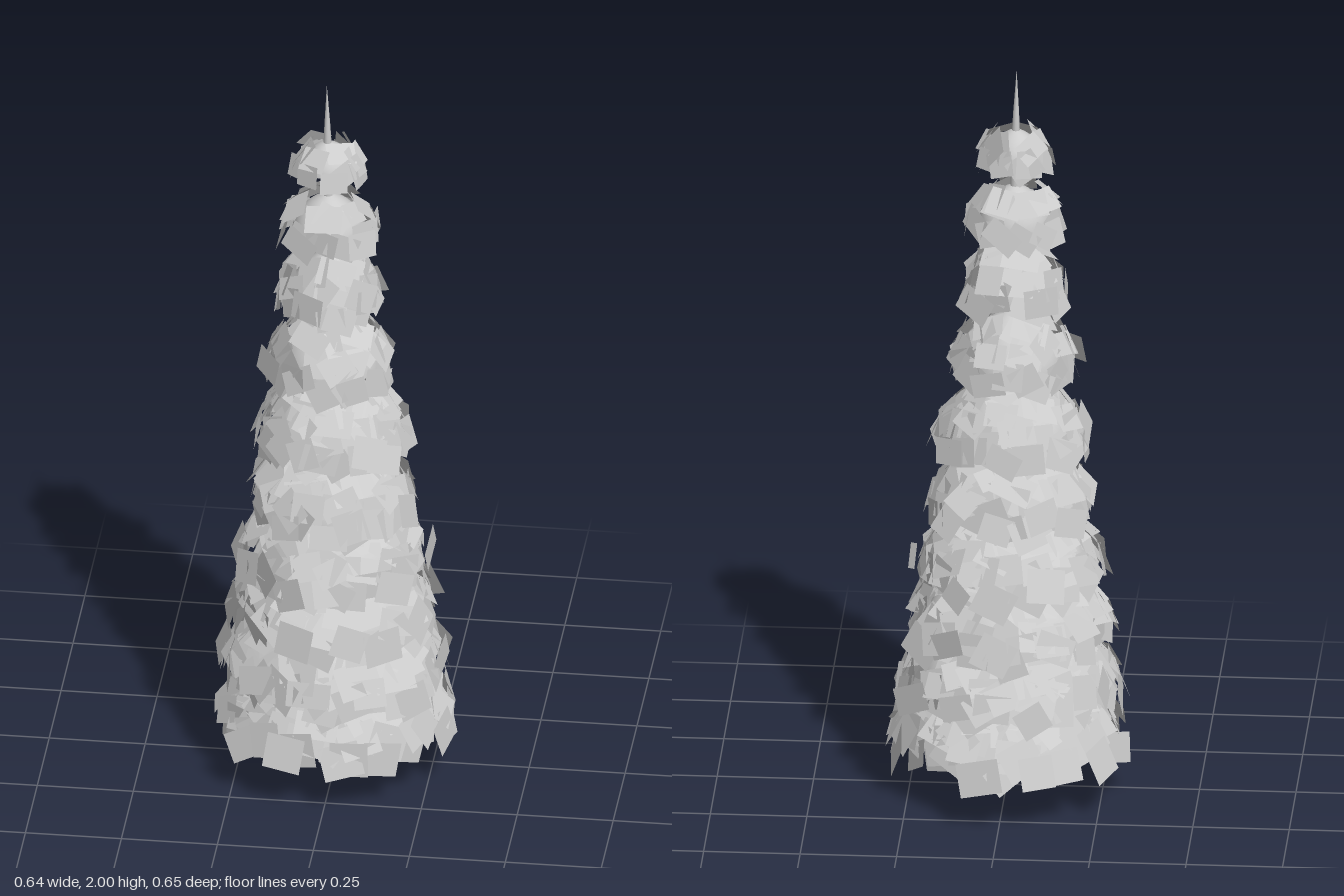
import * as THREE from 'three';
import { mergeGeometries } from 'three/addons/utils/BufferGeometryUtils.js';

// small seeded generator, -1..1
let seed = 7;
function rnd() {
  seed = (seed * 16807) % 2147483647;
  return (seed / 2147483647) * 2 - 1;
}

// each tier: y of the rim, y of the crown, foliage radius
const TIERS = [
  [0.145, 0.35, 0.28], [0.285, 0.49, 0.264], [0.45, 0.64, 0.248], [0.61, 0.795, 0.228],
  [0.775, 0.965, 0.2], [0.965, 1.15, 0.18], [1.175, 1.35, 0.15], [1.37, 1.53, 0.122],
  [1.57, 1.695, 0.106], [1.755, 1.845, 0.078],
];

// the trunk leans a little towards -x
const leanX = (y) => -0.002 - 0.0115 * y;
const leanZ = 0.015;

const material = () => new THREE.MeshStandardMaterial({ color: 0xcccccc, side: THREE.DoubleSide });

// tier profile, between a dome and a cone: t = 0 at the crown, PI / 2 at the rim
const tierRadius = (t, radius) => radius * Math.sin(t);
const tierHeight = (t, height) => height * (0.75 * Math.cos(t) + 0.25 * (1 - Math.sin(t)));
const tierSlope = (t, radius, height) =>
  Math.atan2(height * (0.75 * Math.sin(t) + 0.25 * Math.cos(t)), radius * Math.cos(t));

// open dome under the needles
function domeShell(radius, height) {
  const profile = [];
  for (let i = 10; i >= 0; i--) {
    const t = i * 0.15;
    profile.push(new THREE.Vector2(tierRadius(t, 0.89 * radius), tierHeight(t, 0.88 * height)));
  }
  return new THREE.LatheGeometry(profile, 32);
}

// overlapping rectangular foliage cards laid over the dome like shingles
function foliageCards(radius, height) {
  const cards = [];
  const size = 0.066 + radius * 0.09;
  const rows = Math.max(2, Math.round((radius + height) / 0.1));
  const holder = new THREE.Object3D();
  for (let row = 0; row < rows; row++) {
    const t0 = 1.45 - (row / rows) * 1.3;
    const count = Math.max(4, Math.round((2 * Math.PI * radius * Math.sin(t0)) / 0.045));
    const spread = row === 0 ? 0.1 * radius : 0.012;
    for (let i = 0; i < count; i++) {
      const t = t0 + rnd() * 0.16;
      const angle = ((i + row * 0.5 + rnd() * 0.6) / count) * Math.PI * 2;
      const r = tierRadius(t, radius) + 0.008 + spread * rnd();
      const slope = Math.min(1.36, tierSlope(t, radius, height) + 0.06);
      const card = new THREE.PlaneGeometry(size * (1.1 + 0.2 * rnd()), size * (0.9 + 0.15 * rnd()));
      holder.position.set(r * Math.sin(angle), tierHeight(t, height), r * Math.cos(angle));
      // face outwards, lean back with the dome, then twist
      holder.rotation.set(slope - Math.PI / 2 + rnd() * 0.18, angle + rnd() * 0.28, rnd() * 0.6, 'YXZ');
      holder.updateMatrix();
      cards.push(card.applyMatrix4(holder.matrix));
    }
  }
  return mergeGeometries(cards);
}

export function createModel() {
  const tree = new THREE.Group();
  tree.name = 'tree';

  // flared trunk, tapering into a bare spike at the tip
  const profile = [[0.03, 0], [0.023, 0.06], [0.019, 0.14], [0.017, 0.6],
    [0.014, 1.3], [0.012, 1.8], [0.008, 1.88], [0, 2]].map(([r, y]) => new THREE.Vector2(r, y));
  const trunkGeometry = new THREE.LatheGeometry(profile, 10);
  const p = trunkGeometry.attributes.position;
  for (let i = 0; i < p.count; i++) {
    p.setX(i, p.getX(i) + leanX(p.getY(i)));
    p.setZ(i, p.getZ(i) + leanZ);
  }
  const trunk = new THREE.Mesh(trunkGeometry, material());
  trunk.name = 'trunk';
  tree.add(trunk);

  // stacked tiers of branches
  TIERS.forEach(([rim, crown, radius], i) => {
    const tier = new THREE.Group();
    tier.name = `branchTier${i + 1}`;
    tier.position.set(leanX(rim), rim, leanZ * Math.min(1, i / 5));
    const shell = new THREE.Mesh(domeShell(radius, crown - rim), material());
    shell.name = 'branchDome';
    const foliage = new THREE.Mesh(foliageCards(radius, crown - rim), material());
    foliage.name = 'foliage';
    tier.add(shell, foliage);
    tree.add(tier);
  });

  return tree;
}
